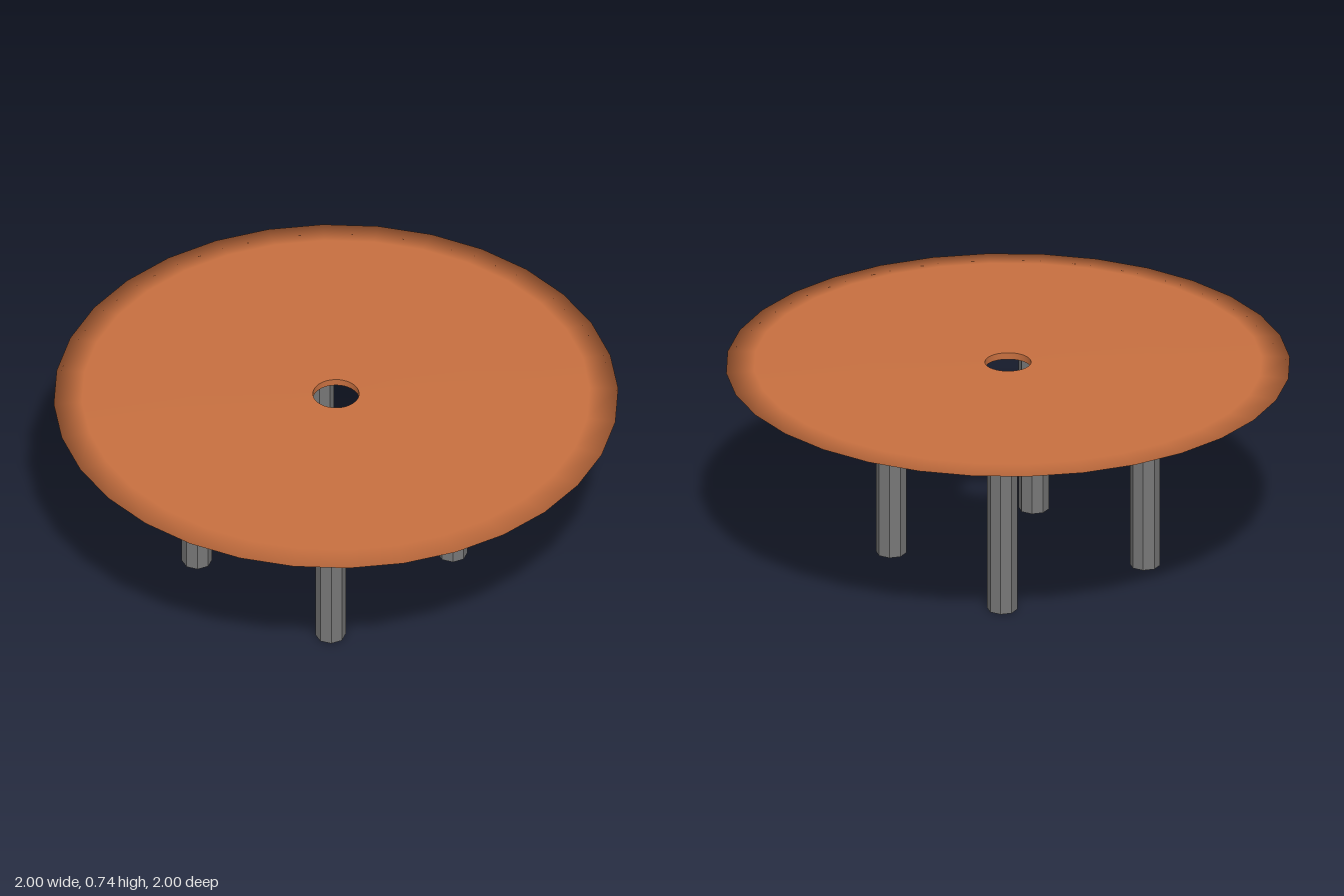
import * as THREE from 'three';

export function createModel() {
  const table = new THREE.Group();
  table.name = 'table';
  const wood = new THREE.MeshStandardMaterial({ color: 0xc87040 });
  const metal = new THREE.MeshStandardMaterial({ color: 0x777777, flatShading: true });

  const addLathe = (name, profile) => {
    const points = profile.map(([r, y]) => new THREE.Vector2(r, y));
    const mesh = new THREE.Mesh(new THREE.LatheGeometry(points, 32), wood);
    mesh.name = name;
    table.add(mesh);
  };

  // Thin round top, tapering to a fine rim, with a hole in the middle
  addLathe('tabletop', [
    [0.082, 0.719], [0.5, 0.722], [0.9, 0.727], [1, 0.732],
    [0.9, 0.738], [0.5, 0.742], [0.082, 0.744],
  ]);
  addLathe('holeWall', [[0.082, 0.744], [0.082, 0.719]]);

  // Four octagonal legs, set slightly off centre
  const legHeight = 0.728;
  const legGeometry = new THREE.CylinderGeometry(0.054, 0.054, legHeight, 8);
  for (const x of [-0.33, 0.31]) {
    for (const z of [-0.365, 0.275]) {
      const leg = new THREE.Mesh(legGeometry, metal);
      leg.name = `${z > 0 ? 'front' : 'back'}${x > 0 ? 'Left' : 'Right'}Leg`;
      leg.position.set(x, legHeight / 2, z);
      table.add(leg);
    }
  }
  return table;
}
